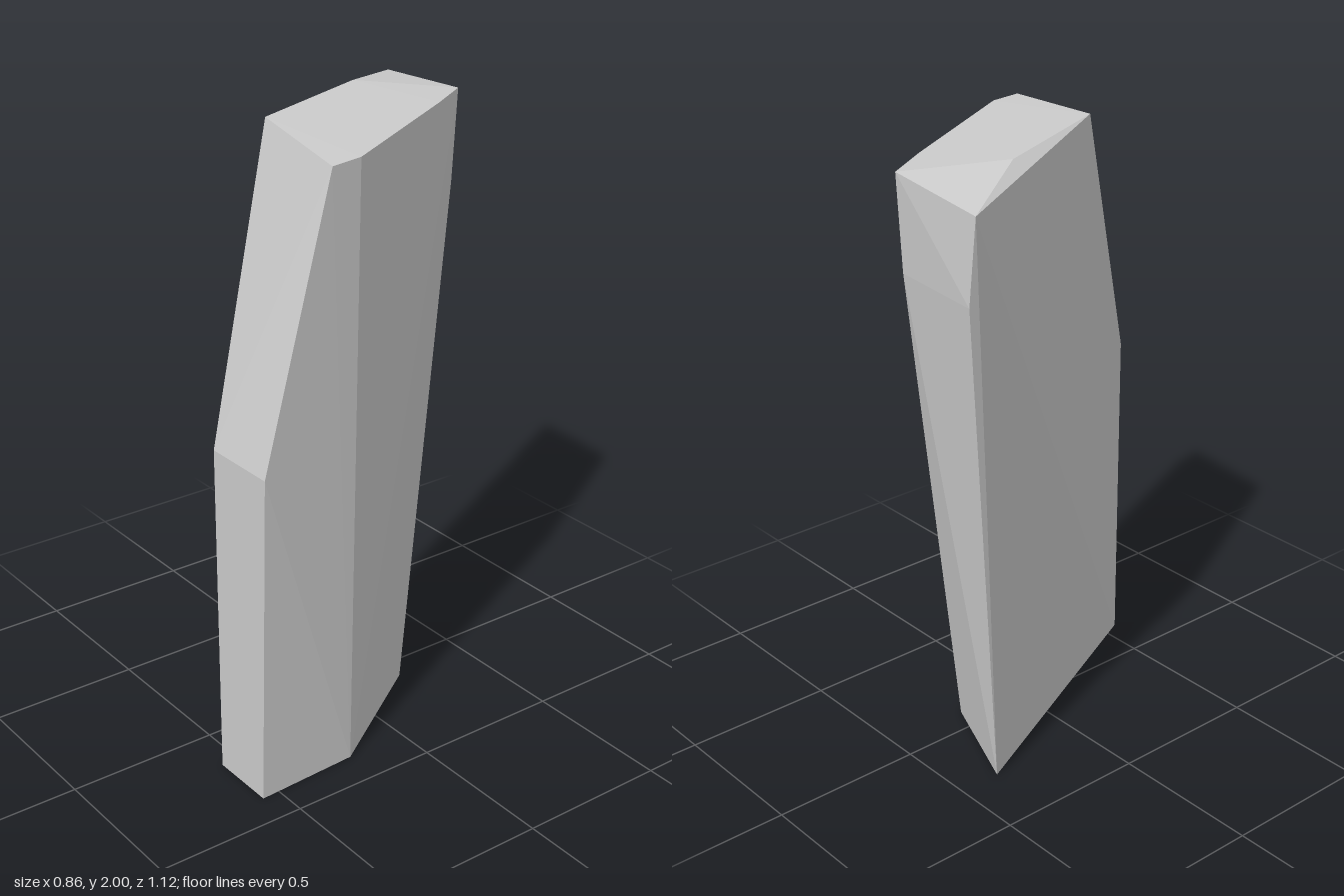
import * as THREE from 'three';
import { ConvexGeometry } from 'three/addons/geometries/ConvexGeometry.js';

export function createModel() {
  const group = new THREE.Group();
  group.name = 'standingStone';

  // Five-cornered foot on the ground
  const foot = [
    [0.165, 0, 0.56], [0.39, 0, 0.56], [0.372, 0, 0.21],
    [0.085, 0, -0.22], [-0.27, 0, -0.36],
  ];
  // Shoulders: where the front and back walls bend
  const shoulders = [
    [0.165, 1.1, 0.56], [0.425, 1.1, 0.56],
    [-0.05, 1.67, -0.51], [-0.41, 1.68, -0.56],
  ];
  // Slightly ridged crown
  const crown = [
    [-0.035, 2.0, 0.22], [0.385, 1.965, 0.29], [0.365, 1.967, 0.175],
    [0.06, 1.97, -0.36], [-0.04, 1.97, -0.52], [-0.43, 1.945, -0.55],
    [-0.23, 1.997, -0.25],
  ];

  // The stone is the convex hull of its corners
  const corners = [...foot, ...shoulders, ...crown].map((p) => new THREE.Vector3(...p));
  const stone = new THREE.Mesh(
    new ConvexGeometry(corners),
    new THREE.MeshStandardMaterial({ color: 0xcccccc, flatShading: true })
  );
  stone.name = 'stone';
  group.add(stone);
  return group;
}
